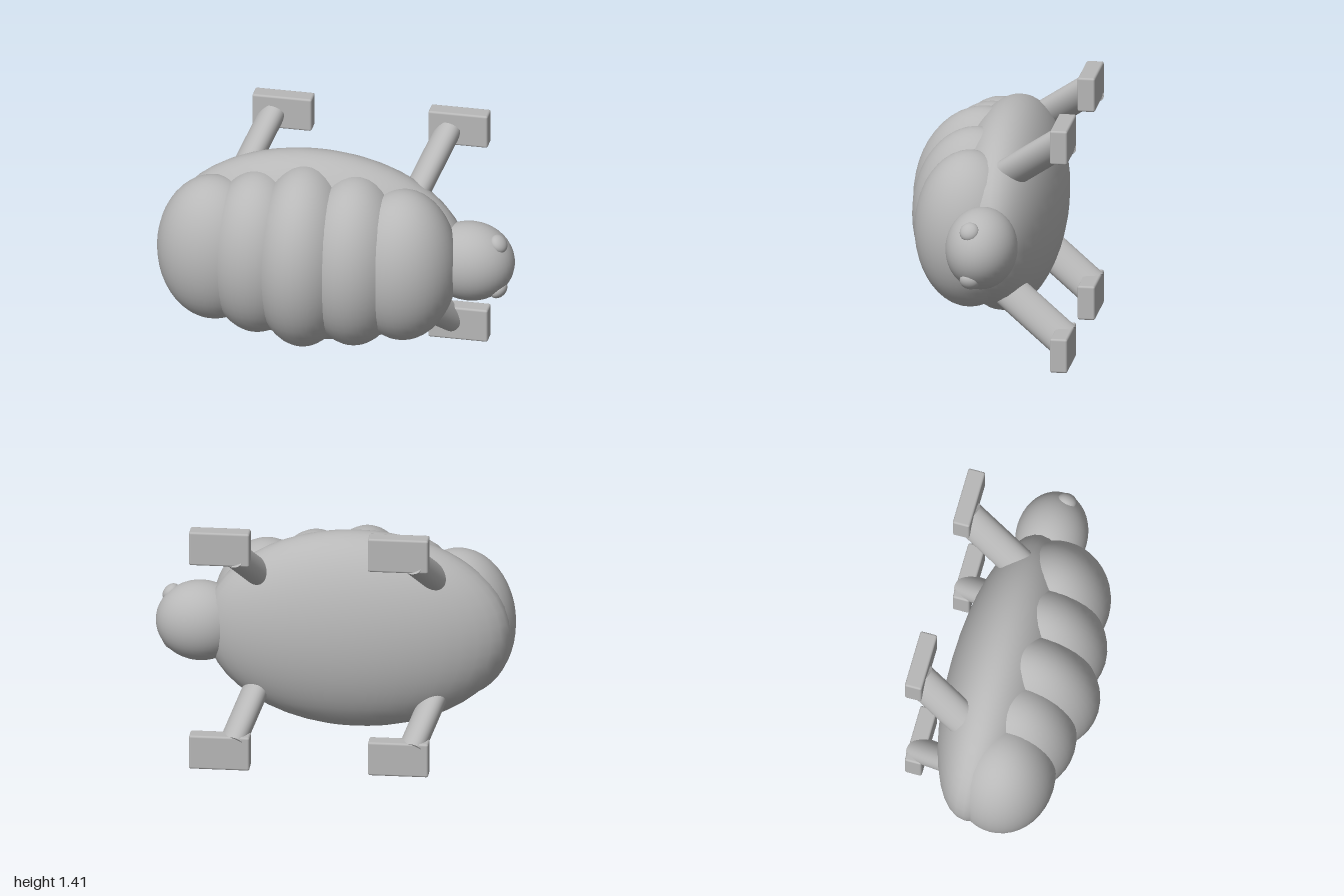
import * as THREE from 'three';
import { RoundedBoxGeometry } from 'three/addons/geometries/RoundedBoxGeometry.js';

const MID = 0.707; // height of the symmetry plane

export function createModel() {
  const model = new THREE.Group();
  model.name = 'shelledAnimal';
  const grey = new THREE.MeshStandardMaterial({ color: 0xb8b8b8 });
  grey.name = 'grey';

  const add = (name, geometry) => {
    const mesh = new THREE.Mesh(geometry, grey);
    mesh.name = name;
    model.add(mesh);
    return mesh;
  };
  const ellipsoid = (name, center, radii) => {
    const mesh = add(name, new THREE.SphereGeometry(1, 40, 24).scale(...radii));
    mesh.position.set(...center);
    return mesh;
  };

  // Belly and head
  ellipsoid('body', [-0.13, MID, -0.05], [0.853, 0.573, 0.305]);
  ellipsoid('head', [0.75, MID, -0.02], [0.25, 0.228, 0.2]);

  // Overlapping shell bands: x, then the three radii
  const bands = [
    [-0.68, 0.32, 0.428, 0.287],
    [-0.43, 0.3, 0.48, 0.34],
    [-0.165, 0.3, 0.535, 0.405],
    [0.12, 0.3, 0.503, 0.366],
    [0.39, 0.31, 0.447, 0.31],
  ];
  bands.forEach(([x, ...radii], i) => ellipsoid(`shellBand${i + 1}`, [x, MID, 0.1], radii));

  // Everything below is mirrored above and below the symmetry plane
  for (const side of [1, -1]) {
    const label = side > 0 ? 'Upper' : 'Lower';

    // Eye, flattened along the head's surface direction
    const eye = ellipsoid(`eye${label}`, [0.92, MID + side * 0.143, 0.022], [0.055, 0.055, 0.04]);
    eye.quaternion.setFromUnitVectors(
      new THREE.Vector3(0, 0, 1),
      new THREE.Vector3(0.17, side * 0.143, 0.04).normalize()
    );

    for (const [end, dx] of [['Front', 0], ['Rear', -1]]) {
      // Slanted leg with an oval cross-section
      const from = new THREE.Vector3(0.415 + dx, MID + side * 0.323, -0.1);
      const to = new THREE.Vector3(0.535 + dx, MID + side * 0.578, -0.45);
      const axis = to.clone().sub(from);
      const length = axis.length();
      axis.normalize();
      const wide = new THREE.Vector3(0.5, side * 0.55, 0.61);
      wide.addScaledVector(axis, -wide.dot(axis)).normalize();
      const narrow = new THREE.Vector3().crossVectors(wide, axis);
      const leg = add(`leg${end}${label}`,
        new THREE.CylinderGeometry(1, 1, length, 32).scale(0.1, 1, 0.07));
      leg.quaternion.setFromRotationMatrix(new THREE.Matrix4().makeBasis(wide, axis, narrow));
      leg.position.copy(from).lerp(to, 0.5);

      // Block foot with slim bevels
      const foot = add(`foot${end}${label}`, new RoundedBoxGeometry(0.338, 0.197, 0.098, 2, 0.012));
      foot.position.set(0.597 + dx, MID + side * 0.606, -0.455);
    }
  }
  return model;
}
